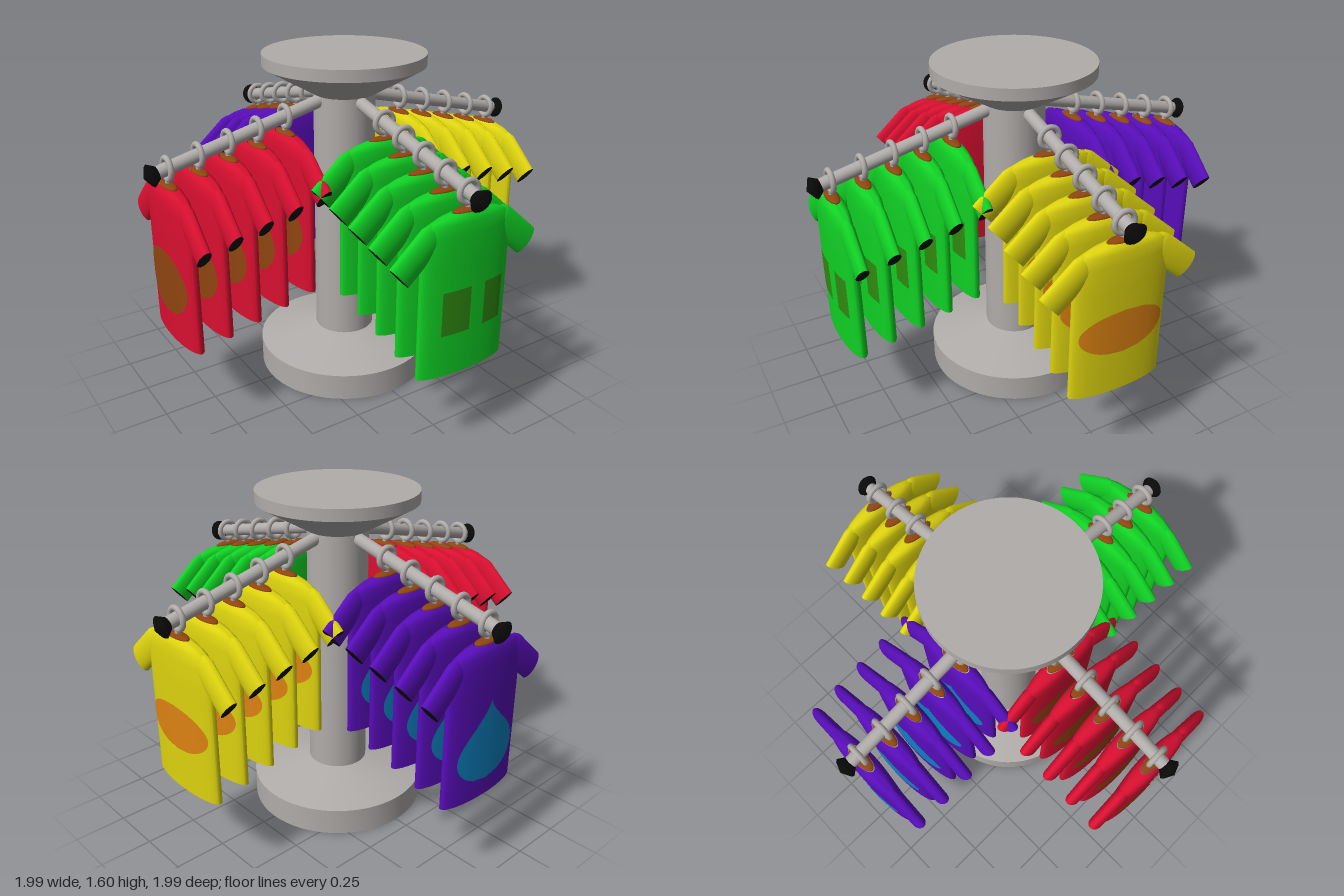
import * as THREE from 'three';
import { toCreasedNormals } from 'three/addons/utils/BufferGeometryUtils.js';

const mat = (name, color, side = THREE.FrontSide) => {
  const m = new THREE.MeshStandardMaterial({ color, side });
  m.name = name;
  return m;
};

const mesh = (name, geometry, material, parent) => {
  const m = new THREE.Mesh(geometry, material);
  m.name = name;
  parent.add(m);
  return m;
};

// Open elliptical tube; each ring is [y, halfX, halfZ], listed from top to bottom
function loft(rings, sides = 32) {
  const g = new THREE.CylinderGeometry(1, 1, 1, sides, rings.length - 1, true);
  const p = g.attributes.position;
  for (let i = 0; i < p.count; i++) {
    const [y, hx, hz] = rings[Math.floor(i / (sides + 1))];
    p.setXYZ(i, p.getX(i) * hx, y, p.getZ(i) * hz);
  }
  return toCreasedNormals(g, 0.9);
}

// Flat ellipse facing up (dir = 1) or down (dir = -1)
const cap = (y, hx, hz, dir) =>
  new THREE.CircleGeometry(1, 32).scale(hx, hz, 1).rotateX(-dir * Math.PI / 2).translate(0, y, 0);

const BODY_X = 0.23, BODY_Z = 0.05;

// Print following the curved chest: span(t) gives [left, right] at height t from 0 to 1
function printGeometry(y0, y1, span, rows = 28) {
  const g = new THREE.PlaneGeometry(1, 1, 20, rows);
  const p = g.attributes.position;
  for (let i = 0; i < p.count; i++) {
    const t = p.getY(i) + 0.5;
    const [a, b] = span(t);
    const x = a + (b - a) * (p.getX(i) + 0.5);
    const z = BODY_Z * Math.sqrt(Math.max(0, 1 - (x / BODY_X) ** 2)) + 0.003;
    p.setXYZ(i, x, y0 + (y1 - y0) * t, z);
  }
  g.computeVertexNormals();
  return g;
}

const oval = (half) => (t) => {
  const w = half * Math.sqrt(Math.max(0, 1 - (2 * t - 1) ** 2));
  return [-w, w];
};

// Round bottom with a concave taper to a point
const drop = (t) => {
  const w = t < 0.33
    ? 0.18 * Math.sqrt(Math.max(0, 1 - (1 - t / 0.33) ** 2))
    : 0.18 * (0.5 + 0.5 * Math.cos(Math.PI * (t - 0.33) / 0.67)) ** 0.8;
  return [-w, w];
};

export function createModel() {
  const model = new THREE.Group();
  model.name = 'clothesRack';

  const metal = mat('grey metal', 0xb0acaa);
  const black = mat('black', 0x0a0a0a);
  const brown = mat('brown', 0x8f4510);

  // Central stand
  const profile = [[0, 0], [0.43, 0], [0.43, 0.13], [0.145, 0.2], [0.145, 1.41],
    [0.38, 1.545], [0.38, 1.6], [0, 1.6]].map(([x, y]) => new THREE.Vector2(x, y));
  mesh('stand', toCreasedNormals(new THREE.LatheGeometry(profile, 64), 0.35), metal, model);

  // Geometry shared by every shirt, measured from the arm centre
  const body = loft([[-0.075, 0.08, 0.03], [-0.088, 0.15, 0.04], [-0.108, 0.205, 0.046],
    [-0.16, 0.225, BODY_Z], [-0.28, BODY_X, BODY_Z], [-0.79, BODY_X, BODY_Z]]);
  const hem = cap(-0.789, BODY_X, BODY_Z, -1);
  const sleeve = loft([[0.07, 0.02, 0.01], [0.03, 0.055, 0.025], [0, 0.065, 0.031], [-0.2, 0.066, 0.028]], 24);
  const cuff = cap(-0.199, 0.066, 0.028, -1);
  const neck = new THREE.SphereGeometry(1, 24, 10).scale(0.075, 0.014, 0.029).translate(0, -0.075, 0);
  const ring = new THREE.TorusGeometry(0.047, 0.013, 10, 28);
  const stem = new THREE.CylinderGeometry(0.013, 0.013, 0.04, 12).translate(0, -0.068, 0);

  function makeShirt(cloth, printMat, prints) {
    const shirt = new THREE.Group();
    shirt.name = 'hangingShirt';
    mesh('hookRing', ring, metal, shirt);
    mesh('hookStem', stem, metal, shirt);
    mesh('hangerNeck', neck, brown, shirt);
    mesh('shirtBody', body, cloth, shirt);
    mesh('hemOpening', hem, black, shirt);
    for (const s of [1, -1]) {
      const arm = new THREE.Group();
      arm.name = s > 0 ? 'leftSleeve' : 'rightSleeve';
      arm.position.set(s * 0.182, -0.16, 0);
      arm.rotation.z = s * 0.854;
      mesh('sleeve', sleeve, cloth, arm);
      mesh('cuffOpening', cuff, black, arm);
      shirt.add(arm);
    }
    prints.forEach((g) => mesh('print', g, printMat, shirt));
    return shirt;
  }

  // Four rows: front, left, back, right
  const rows = [
    ['front', 0, mat('green cloth', 0x10d024), mat('olive print', 0x2f8a10),
      [printGeometry(-0.595, -0.395, () => [-0.14, 0], 1), printGeometry(-0.595, -0.395, () => [0.075, 0.18], 1)]],
    ['left', Math.PI / 2, mat('yellow cloth', 0xdcd20e), mat('orange print', 0xdc8212),
      [printGeometry(-0.59, -0.38, oval(0.205))]],
    ['back', Math.PI, mat('purple cloth', 0x570db8), mat('blue print', 0x0c80c0),
      [printGeometry(-0.705, -0.32, drop)]],
    ['right', -Math.PI / 2, mat('red cloth', 0xd80f30), brown,
      [printGeometry(-0.66, -0.36, oval(0.19))]],
  ];

  const armY = (z) => 1.42 - 0.24 * z;
  const tilt = Math.atan(0.24);
  const start = new THREE.Vector3(0, armY(0.1), 0.1);
  const end = new THREE.Vector3(0, armY(0.96), 0.96);
  const length = start.distanceTo(end);
  const knobProfile = [[0, -0.03], [0.03, -0.028], [0.052, 0.004], [0.045, 0.012], [0, 0.035]]
    .map(([x, y]) => new THREE.Vector2(x, y));

  for (const [name, angle, cloth, printMat, prints] of rows) {
    const row = new THREE.Group();
    row.name = name + 'Row';
    row.rotation.y = angle;
    model.add(row);

    // Sloping arm with end knob
    const arm = mesh('arm', new THREE.CylinderGeometry(0.03, 0.03, length, 20), metal, row);
    arm.position.copy(start).lerp(end, 0.5);
    arm.rotation.x = Math.PI / 2 + tilt;
    const knob = mesh('armKnob', new THREE.LatheGeometry(knobProfile, 20), black, row);
    knob.position.copy(end);
    knob.rotation.x = Math.PI / 2 + tilt;

    // Five shirts along the arm
    for (let i = 0; i < 5; i++) {
      const z = 0.32 + i * 0.1425;
      const shirt = makeShirt(cloth, printMat, prints);
      shirt.position.set(0, armY(z), z);
      row.add(shirt);
    }
  }
  return model;
}
